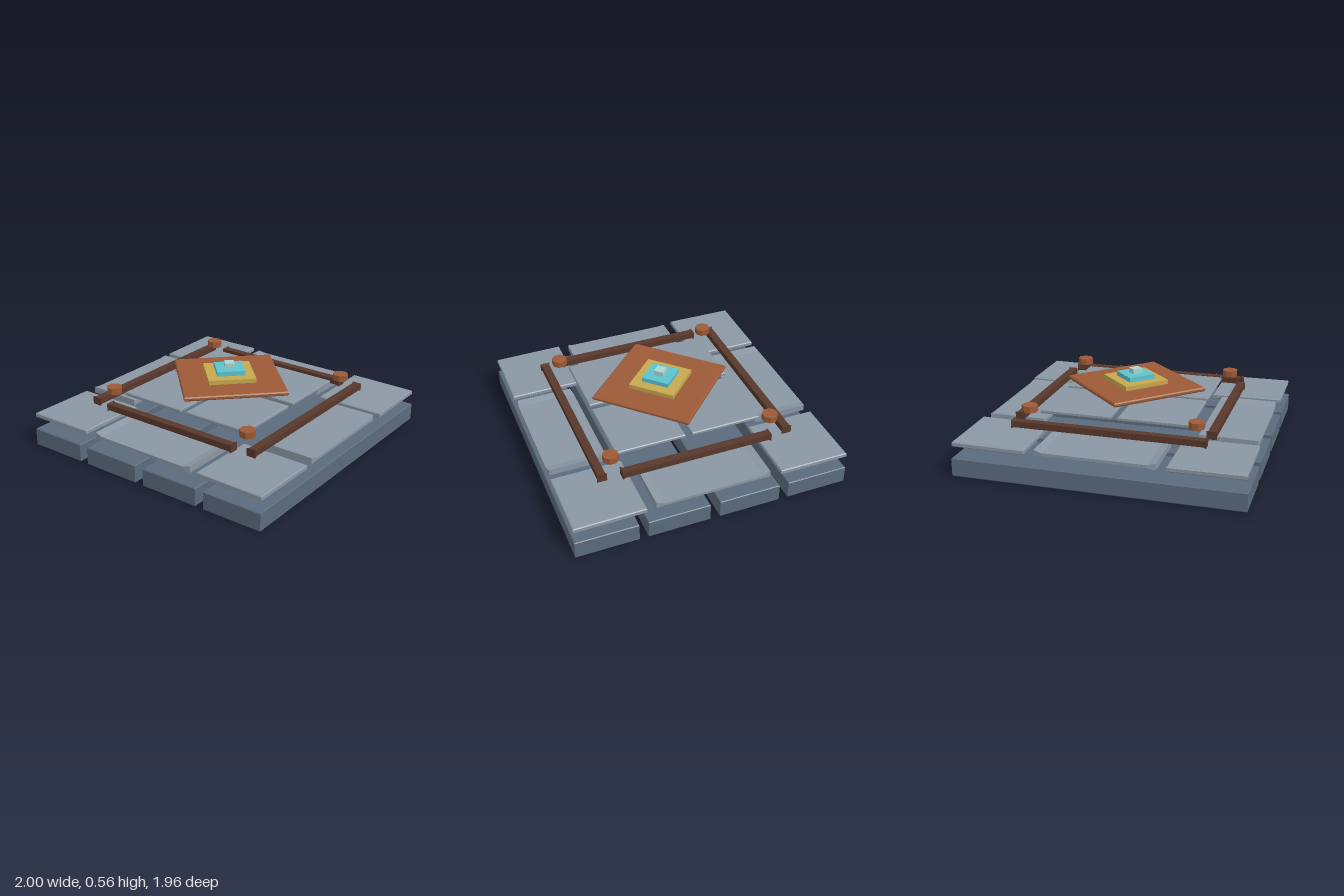
import * as THREE from 'three';

const mat = (color) => new THREE.MeshStandardMaterial({ color, flatShading: true });

export function createModel() {
  const model = new THREE.Group();
  const plankMat = mat(0x5b6b7c), slabMat = mat(0x8a97a3), barMat = mat(0x59382b);
  const copperMat = mat(0x9c5a36), goldMat = mat(0xc6a84e);
  const cyanMat = mat(0x5cc3cd), paleMat = mat(0xa6d6d2);

  const add = (name, geometry, material, x, y, z, turn = 0) => {
    const mesh = new THREE.Mesh(geometry, material);
    mesh.name = name;
    mesh.position.set(x, y, z);
    mesh.rotation.y = turn;
    model.add(mesh);
    return mesh;
  };

  // Block with chamfered rims: a box whose top and bottom rows are drawn in
  const chamferedBox = (w, h, d, c) => {
    const g = new THREE.BoxGeometry(w, h, d, 1, 3, 1);
    const p = g.attributes.position;
    for (let i = 0; i < p.count; i++) {
      const y = p.getY(i);
      if (Math.abs(y) > h * 0.4) {
        p.setX(i, p.getX(i) - Math.sign(p.getX(i)) * c);
        p.setZ(i, p.getZ(i) - Math.sign(p.getZ(i)) * c);
      } else p.setY(i, Math.sign(y) * (h / 2 - c));
    }
    g.computeVertexNormals();
    return g;
  };

  // Bar along x that is slimmer between its flared ends
  const flaredBar = (length, endH, midH, endD, midD, flare) => {
    const g = new THREE.BoxGeometry(length, endH, endD, 3, 1, 1);
    const p = g.attributes.position;
    for (let i = 0; i < p.count; i++) {
      if (Math.abs(p.getX(i)) > length * 0.4) continue;
      p.setX(i, Math.sign(p.getX(i)) * (length / 2 - flare));
      p.setY(i, Math.sign(p.getY(i)) * midH / 2);
      p.setZ(i, Math.sign(p.getZ(i)) * midD / 2);
    }
    g.computeVertexNormals();
    return g;
  };

  // Four base planks
  for (const z of [-0.76, -0.253, 0.257, 0.76]) {
    add('basePlank', chamferedBox(2, 0.13, 0.44, 0.005), plankMat, 0, 0.065, z);
  }

  // Corner slabs of the paving ring, each very slightly tilted
  for (const sx of [-1, 1]) for (const sz of [-1, 1]) {
    const slab = add('cornerSlab', chamferedBox(0.51, 0.035, 0.5, 0.006), slabMat,
      sx * 0.735, sz > 0 ? 0.225 : 0.231, sz * 0.73);
    slab.rotation.set(sz * 0.008, 0, sx * 0.008);
  }

  // Hollowed slabs between the corners
  for (let i = 0; i < 4; i++) {
    const a = i * Math.PI / 2;
    add('sideSlab', flaredBar(0.82, 0.046, 0.02, 0.4, 0.42, 0.055), slabMat,
      Math.sin(a) * 0.765, 0.229, Math.cos(a) * 0.765, a);
  }

  // Frame bars: long ones front and back, shorter ones at the sides
  for (const s of [-1, 1]) {
    add('longFrameBar', flaredBar(1.35, 0.056, 0.044, 0.07, 0.056, 0.02), barMat, 0, 0.309, s * 0.677);
    add('shortFrameBar', flaredBar(1.085, 0.056, 0.044, 0.07, 0.056, 0.02), barMat,
      s * 0.677, 0.309, 0, Math.PI / 2);
  }

  // Inner tiles and octagonal pegs
  for (const sx of [-1, 1]) for (const sz of [-1, 1]) {
    add('innerTile', chamferedBox(0.507, 0.027, 0.507, 0.006), slabMat, sx * 0.278, 0.353, sz * 0.278);
    add('cornerPeg', new THREE.CylinderGeometry(0.056, 0.056, 0.046, 8), copperMat,
      sx * 0.585, 0.393, sz * 0.585, Math.PI / 8);
  }

  // Stepped diamond in the centre
  add('diamondPlate', chamferedBox(0.73, 0.03, 0.73, 0.008), copperMat, 0, 0.44, 0, Math.PI / 4);
  const steps = [
    ['goldStep', 0.241, 0.454, 0.487, goldMat],
    ['cyanStep', 0.142, 0.487, 0.52, cyanMat],
    ['crownStep', 0.05, 0.52, 0.556, paleMat],
  ];
  for (const [name, r, y0, y1, m] of steps) {
    add(name, new THREE.CylinderGeometry(r, r, y1 - y0, 4), m, 0, (y0 + y1) / 2, 0);
  }
  return model;
}
